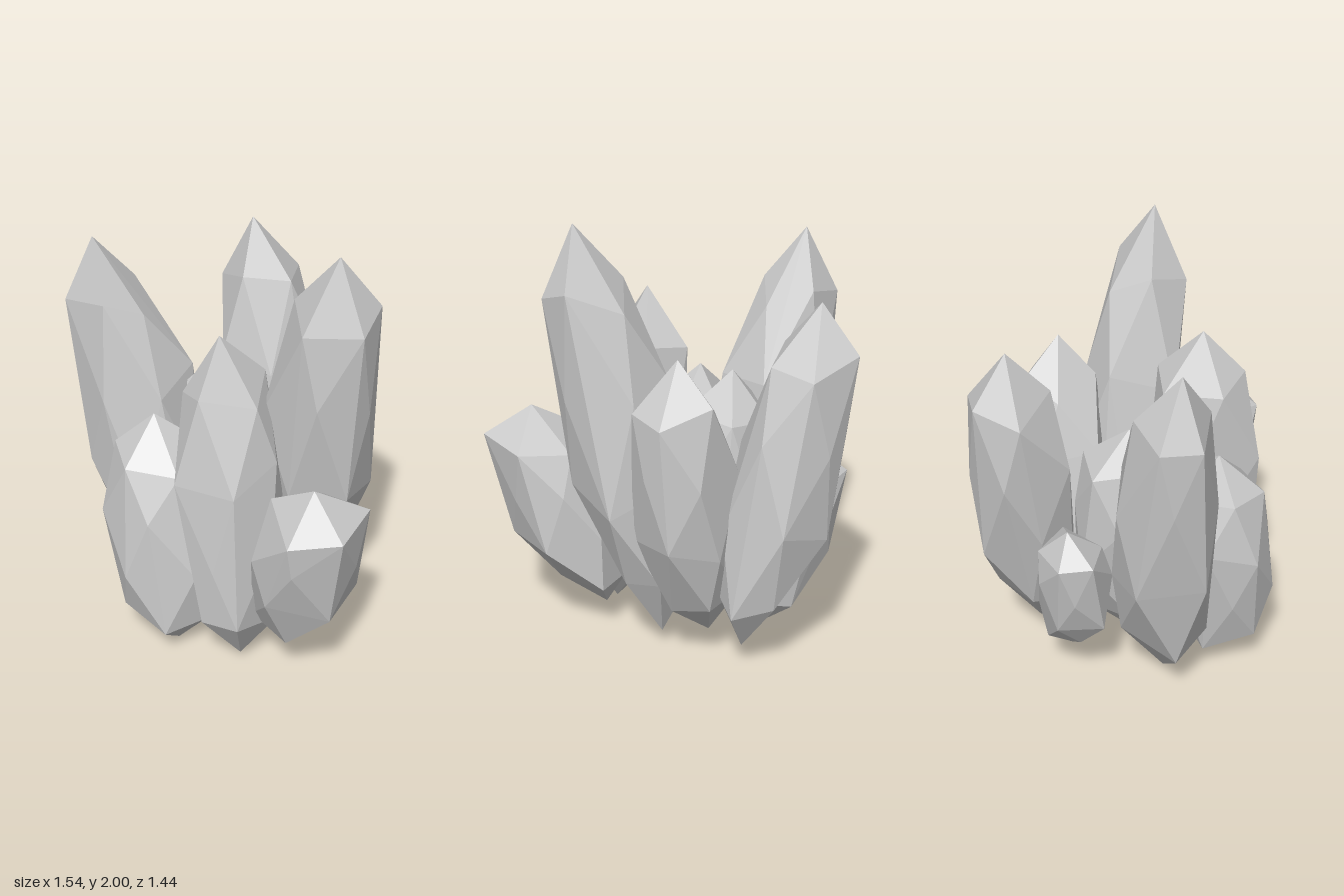
import * as THREE from 'three';
import { ConvexGeometry } from 'three/addons/geometries/ConvexGeometry.js';

const SIDES = 5;

// Irregular five-sided outline filling the square from -1 to 1
function outline(phase, seed) {
  const points = [];
  for (let i = 0; i < SIDES; i++) {
    const a = (i / SIDES) * Math.PI * 2 + phase + 0.12 * Math.sin(i * 2.3 + seed);
    points.push(new THREE.Vector2(Math.cos(a), Math.sin(a)));
  }
  const box = new THREE.Box2().setFromPoints(points);
  const centre = box.getCenter(new THREE.Vector2());
  const half = box.getSize(new THREE.Vector2()).multiplyScalar(0.5);
  return points.map((p) => p.sub(centre).divide(half));
}

// Faceted hull through base, twisted rings on a gently bowed axis, and tip
function crystalGeometry({ tip, base, belly, girth, ends, phase, seed }) {
  const bottom = new THREE.Vector3(...base);
  const top = new THREE.Vector3(...tip);
  const bow = new THREE.Vector3(belly[0], (base[1] + tip[1]) / 2, belly[1])
    .sub(bottom.clone().lerp(top, 0.5));
  const points = [bottom, top];
  // Height fraction and girth fraction of each ring
  const profile = [[0.15, ends[0]], [0.38, 1], [0.62, 1], [0.84, ends[1]]];
  profile.forEach(([t, r], k) => {
    const centre = bottom.clone().lerp(top, t).addScaledVector(bow, 4 * t * (1 - t));
    const twist = k % 2 ? 0 : Math.PI / SIDES;
    outline(phase + twist, seed + k).forEach((p, i) => {
      const lift = 0.03 * (tip[1] - base[1]) * Math.sin(i * 2.6 + seed * 3 + k * 1.5);
      points.push(new THREE.Vector3(
        centre.x + p.x * r * girth[0], centre.y + lift, centre.z + p.y * r * girth[1]));
    });
  });
  return new ConvexGeometry(points);
}

export function createModel() {
  const group = new THREE.Group();
  group.name = 'crystalCluster';
  const stone = new THREE.MeshStandardMaterial({ color: 0xcccccc, flatShading: true });
  stone.name = 'greyCrystal';

  // belly: centre (x, z) at half height; girth: half widths there;
  // ends: girth fractions of the lowest and highest rings; turn: outline angle in degrees
  const add = (name, tip, base, belly, girth, ends, turn) => {
    const phase = THREE.MathUtils.degToRad(turn);
    const seed = group.children.length * 1.7;
    const geometry = crystalGeometry({ tip, base, belly, girth, ends, phase, seed });
    const mesh = new THREE.Mesh(geometry, stone);
    mesh.name = name;
    group.add(mesh);
  };

  // Tall crystals around the outside
  add('tallLeftwardCrystal', [-0.66, 1.8, 0.13], [-0.26, 0.03, 0.14], [-0.46, 0.1], [0.235, 0.22], [0.88, 0.74], 0);
  add('tallestCrystal', [0.54, 2, 0.22], [0.28, 0.08, -0.03], [0.41, 0.085], [0.22, 0.22], [0.68, 0.8], 36);
  add('tallBackCrystal', [-0.2, 1.71, -0.53], [0.1, 0.11, -0.39], [-0.065, -0.47], [0.225, 0.215], [0.78, 0.8], 90);
  add('tallFrontCrystal', [0.07, 1.6, 0.36], [0.21, 0.03, 0.45], [0.14, 0.38], [0.21, 0.245], [0.78, 0.78], 90);
  add('backCrystal', [0.34, 1.49, -0.25], [0.12, 0.1, -0.17], [0.295, -0.235], [0.21, 0.2], [0.78, 0.82], 36);

  // Middle and short crystals
  add('middleCrystal', [-0.14, 1.26, 0], [-0.05, 0.08, 0.05], [-0.055, 0.005], [0.225, 0.235], [0.75, 0.78], 90);
  add('shortFrontCrystal', [-0.24, 1.15, 0.38], [-0.11, 0, 0.44], [-0.2, 0.42], [0.22, 0.22], [0.82, 0.84], 36);
  add('shortFrontSideCrystal', [0.59, 1.09, 0.54], [0.36, 0.11, 0.31], [0.515, 0.45], [0.21, 0.23], [0.72, 0.95], 36);
  add('shortBackCrystal', [-0.39, 0.92, -0.31], [-0.13, 0.11, -0.27], [-0.275, -0.265], [0.19, 0.165], [0.75, 0.85], 0);
  return group;
}
